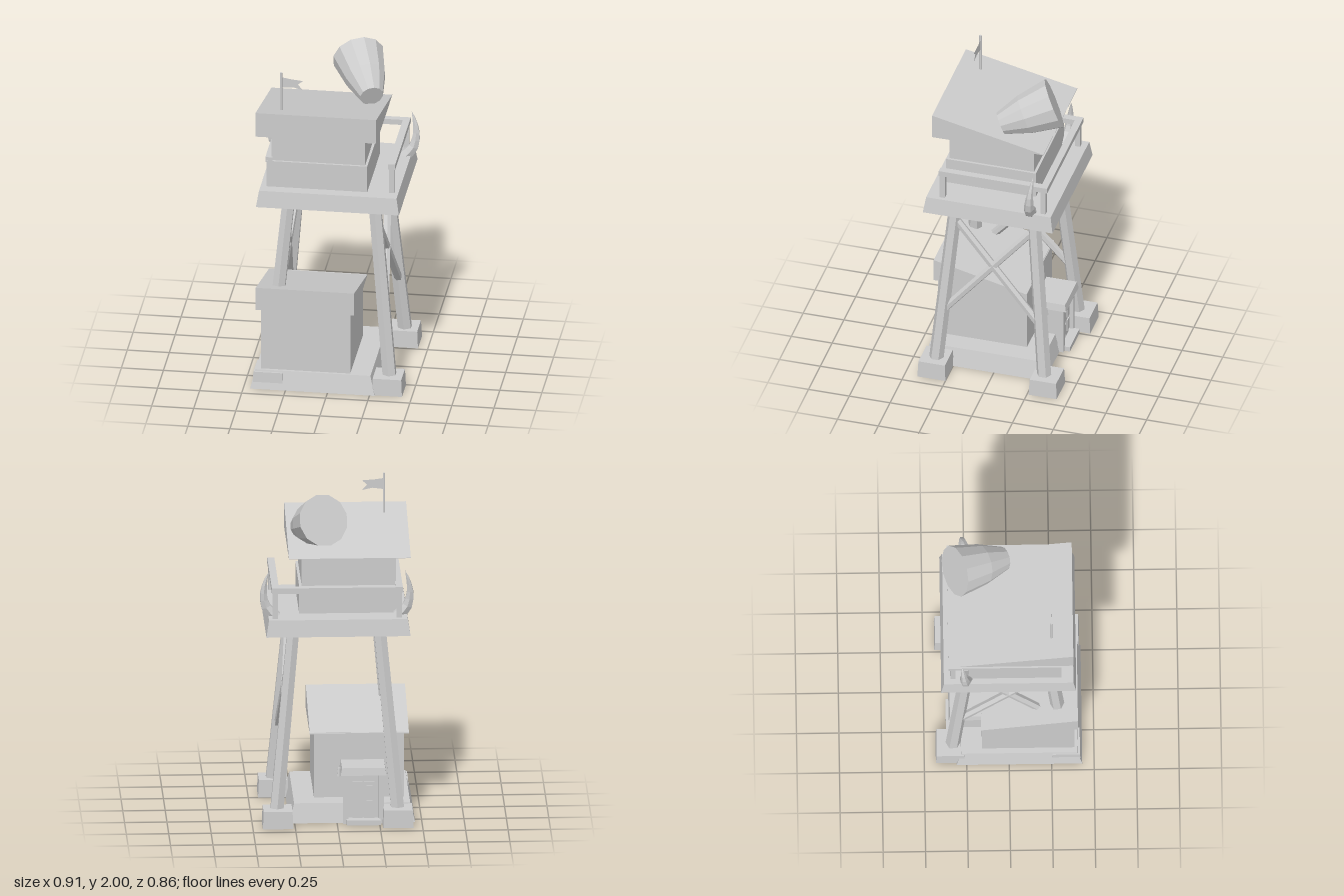
import * as THREE from 'three';

const grey = new THREE.MeshStandardMaterial({ color: 0xcccccc, flatShading: true, side: THREE.DoubleSide });
grey.name = 'plain grey';

const V = (x, y, z) => new THREE.Vector3(x, y, z);

export function createModel() {
  const model = new THREE.Group();
  model.name = 'watchtower';

  const add = (name, geo, parent = model) => {
    const m = new THREE.Mesh(geo, grey);
    m.name = name;
    parent.add(m);
    return m;
  };

  // Box from its limits; inset narrows the top, open drops the underside, backDrop slopes the top to the rear
  const block = (name, [x0, x1], [y0, y1], [z0, z1], { inset = 0, open = false, backDrop = 0 } = {}, parent = model) => {
    const g = new THREE.BoxGeometry(x1 - x0, y1 - y0, z1 - z0);
    const p = g.attributes.position;
    for (let i = 0; i < p.count; i++) {
      if (p.getY(i) < 0) continue;
      if (p.getZ(i) < 0) p.setY(i, p.getY(i) - backDrop);
      p.setX(i, p.getX(i) - Math.sign(p.getX(i)) * inset);
      p.setZ(i, p.getZ(i) - Math.sign(p.getZ(i)) * inset);
    }
    if (open) {
      const idx = Array.from(g.index.array);
      idx.splice(18, 6);
      g.setIndex(idx);
      g.clearGroups();
    }
    g.translate((x0 + x1) / 2, (y0 + y1) / 2, (z0 + z1) / 2);
    g.computeVertexNormals();
    return add(name, g, parent);
  };

  // Straight beam between two points
  const beam = (name, a, b, r0, r1 = r0, sides = 6, parent = model) => {
    const d = b.clone().sub(a);
    const m = add(name, new THREE.CylinderGeometry(r1, r0, d.length(), sides), parent);
    m.position.copy(a).add(b).multiplyScalar(0.5);
    m.quaternion.setFromUnitVectors(V(0, 1, 0), d.normalize());
    return m;
  };

  // Ground slab and leg footings, hollow underneath
  block('groundSlab', [-0.46, 0.28], [0, 0.115], [-0.31, 0.43], { inset: 0.028, open: true });
  for (const x of [-0.447, 0.262])
    for (const z of [-0.432, 0.25])
      block('footing', [x, x + 0.18], [0, 0.105], [z, z + 0.172], { inset: 0.005, open: true });

  // Splayed legs
  const legAt = (sx, sz, y) => {
    const t = (y - 0.1) / 1.07;
    return V(sx * (0.355 - 0.1 * t), y, sz * (0.33 - 0.093 * t));
  };
  for (const sx of [-1, 1])
    for (const sz of [-1, 1])
      beam('leg', legAt(sx, sz, 0.09), legAt(sx, sz, 1.2), 0.044, 0.04);

  // Crossed braces on both sides
  for (const sx of [-1, 1])
    for (const sz of [-1, 1])
      beam('crossBrace', legAt(sx, sz, 1.06), legAt(sx, -sz, 0.42), 0.024);

  // Lower hut
  block('lowerHutWalls', [-0.4, 0.13], [0.11, 0.51], [-0.16, 0.385]);
  block('lowerHutRoof', [-0.43, 0.155], [0.502, 0.645], [-0.165, 0.405], { backDrop: 0.138 });

  // Porch with door at the rear of the lower hut
  const porch = new THREE.Group();
  porch.name = 'porch';
  model.add(porch);
  block('porchWalls', [-0.265, -0.045], [0.03, 0.305], [-0.305, -0.15], {}, porch);
  block('porchRoof', [-0.29, -0.02], [0.3, 0.345], [-0.355, -0.15], { inset: 0.008 }, porch);
  for (const x of [-0.275, -0.065])
    block('porchPost', [x, x + 0.03], [0, 0.3], [-0.335, -0.3], {}, porch);
  block('doorStep', [-0.255, -0.055], [0, 0.03], [-0.37, -0.3], {}, porch);
  for (const x of [-0.22, -0.15]) {
    block('doorLeaf', [x, x + 0.06], [0.03, 0.25], [-0.314, -0.305], {}, porch);
    for (const y of [0.06, 0.155])
      block('doorPanel', [x + 0.012, x + 0.048], [y, y + 0.075], [-0.321, -0.314], {}, porch);
  }
  beam('lampBracket', V(-0.045, 0.31, -0.235), V(-0.01, 0.31, -0.235), 0.006, 0.006, 5, porch);
  beam('lamp', V(-0.015, 0.265, -0.235), V(-0.015, 0.315, -0.235), 0.015, 0.008, 6, porch);

  // Platform with a recessed underside
  block('platform', [-0.43, 0.42], [1.165, 1.265], [-0.4, 0.395], { inset: 0.016, open: true });
  block('platformUnderside', [-0.422, 0.412], [1.182, 1.19], [-0.392, 0.387]);

  // Upper cabin
  block('cabinBase', [-0.38, 0.22], [1.26, 1.43], [-0.24, 0.31]);
  block('cabinWalls', [-0.35, 0.205], [1.42, 1.63], [-0.225, 0.295]);
  block('cabinRoof', [-0.435, 0.283], [1.615, 1.768], [-0.305, 0.378], { backDrop: 0.15 });

  // Railing around the sides and back
  const railing = new THREE.Group();
  railing.name = 'railing';
  model.add(railing);
  for (const x of [-0.365, 0.365]) {
    block('sideRail', [x - 0.021, x + 0.021], [1.42, 1.453], [-0.335, 0.308], {}, railing);
    for (const z of [-0.33, 0.287])
      block('railPost', [x - 0.016, x + 0.016], [1.26, 1.425], [z - 0.016, z + 0.016], {}, railing);
  }
  block('backRail', [-0.386, 0.386], [1.42, 1.453], [-0.357, -0.315], {}, railing);

  // Curved horns at both sides of the platform, tapering to a point
  for (const s of [-1, 1]) {
    const path = new THREE.CatmullRomCurve3([
      V(s * 0.36, 1.25, -0.25), V(s * 0.415, 1.31, -0.255),
      V(s * 0.432, 1.39, -0.262), V(s * 0.424, 1.46, -0.269), V(s * 0.403, 1.53, -0.276)]);
    const rings = 7, sides = 6;
    const g = new THREE.TubeGeometry(path, rings, 1, sides, false);
    const p = g.attributes.position;
    for (let i = 0; i <= rings; i++) {
      const u = i / rings;
      const c = path.getPointAt(u);
      const r = 0.04 * Math.pow(1 - u, 0.75) + 0.0005;
      for (let j = 0; j <= sides; j++) {
        const k = i * (sides + 1) + j;
        const q = V(0, 0, 0).fromBufferAttribute(p, k).sub(c).multiplyScalar(r).add(c);
        p.setXYZ(k, q.x, q.y, q.z);
      }
    }
    g.computeVertexNormals();
    add('horn', g);
  }

  // Bulging bucket-shaped siren on the roof
  const narrow = V(0.2, 1.735, -0.02), wide = V(0.08, 1.855, -0.312);
  const axis = wide.clone().sub(narrow);
  const L = axis.length();
  const profile = [[0, 0], [0.07, 0], [0.121, L * 0.45], [0.155, L], [0, L]].map(([r, y]) => new THREE.Vector2(r, y));
  const siren = add('siren', new THREE.LatheGeometry(profile, 12));
  siren.position.copy(narrow);
  siren.quaternion.setFromUnitVectors(V(0, 1, 0), axis.normalize());

  // Flag and pole
  beam('flagPole', V(-0.3, 1.7, 0.25), V(-0.3, 1.98, 0.25), 0.008);
  const flag = new THREE.Shape([
    [0, 0.95], [0.05, 0.942], [0.13, 0.935], [0.1, 0.91], [0.13, 0.875], [0.07, 0.89], [0, 0.882],
  ].map(([x, y]) => new THREE.Vector2(x, y)));
  const cloth = add('flag', new THREE.ShapeGeometry(flag));
  cloth.position.set(-0.3, 1, 0.247);
  cloth.rotation.y = -0.05;

  return model;
}
